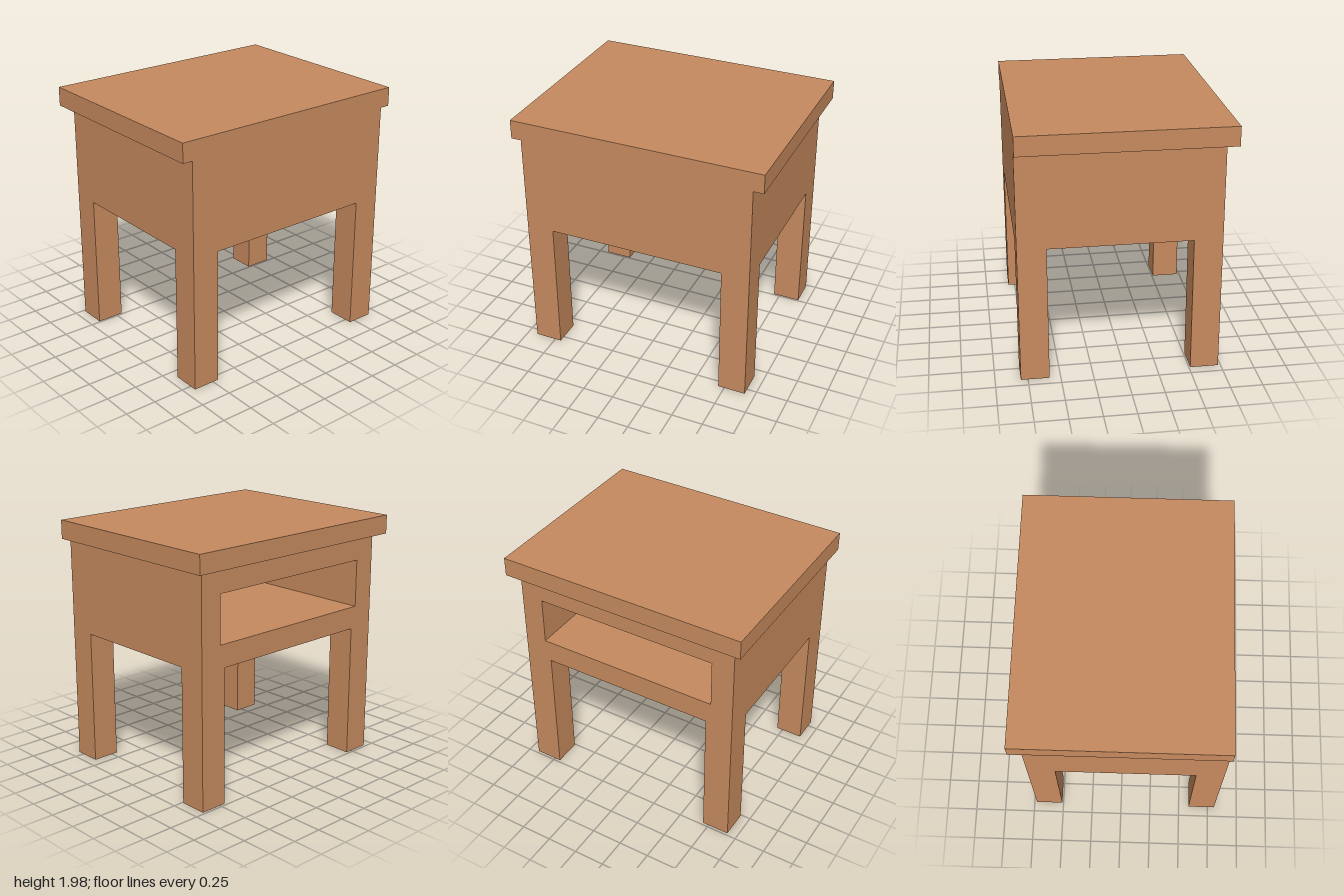
import * as THREE from 'three';

export function createModel() {
  const group = new THREE.Group();
  group.name = 'sideTable';
  const wood = new THREE.MeshStandardMaterial({ color: 0xc68a5e, flatShading: true });

  const add = (name, geometry) => {
    const mesh = new THREE.Mesh(geometry, wood);
    mesh.name = name;
    group.add(mesh);
  };

  // Box given by its lower and upper limits on each axis
  const box = (name, [x0, x1], [y0, y1], [z0, z1]) => {
    const g = new THREE.BoxGeometry(x1 - x0, y1 - y0, z1 - z0);
    g.translate((x0 + x1) / 2, (y0 + y1) / 2, (z0 + z1) / 2);
    add(name, g);
  };

  const W = 0.92, LEG = 0.22, BASE = 1.08, TOP = 1.83;
  const BACK = -0.73, FRONT = 0.805, CAVITY_END = 0.62;

  // Overhanging table top, flush with the body at the front
  box('tableTop', [-1, 1], [TOP, 1.98], [-0.805, FRONT]);

  // Body shell with a shelf opening at the back
  const shell = new THREE.Shape([
    new THREE.Vector2(-W, BASE), new THREE.Vector2(W, BASE),
    new THREE.Vector2(W, TOP), new THREE.Vector2(-W, TOP),
  ]);
  shell.holes.push(new THREE.Path([
    new THREE.Vector2(-0.74, 1.26), new THREE.Vector2(-0.74, 1.64),
    new THREE.Vector2(0.74, 1.64), new THREE.Vector2(0.74, 1.26),
  ]));
  const shellGeometry = new THREE.ExtrudeGeometry(shell, { depth: CAVITY_END - BACK, bevelEnabled: false });
  shellGeometry.translate(0, 0, BACK);
  add('bodyShell', shellGeometry);

  // Solid front closing the shelf space
  box('frontPanel', [-W, W], [BASE, TOP], [CAVITY_END, FRONT]);

  // Four square legs
  for (const [side, x] of [['left', W - LEG], ['right', -W]]) {
    for (const [end, z] of [['Front', FRONT - LEG], ['Back', BACK]]) {
      box(`${side}${end}Leg`, [x, x + LEG], [0, BASE], [z, z + LEG]);
    }
  }

  return group;
}
